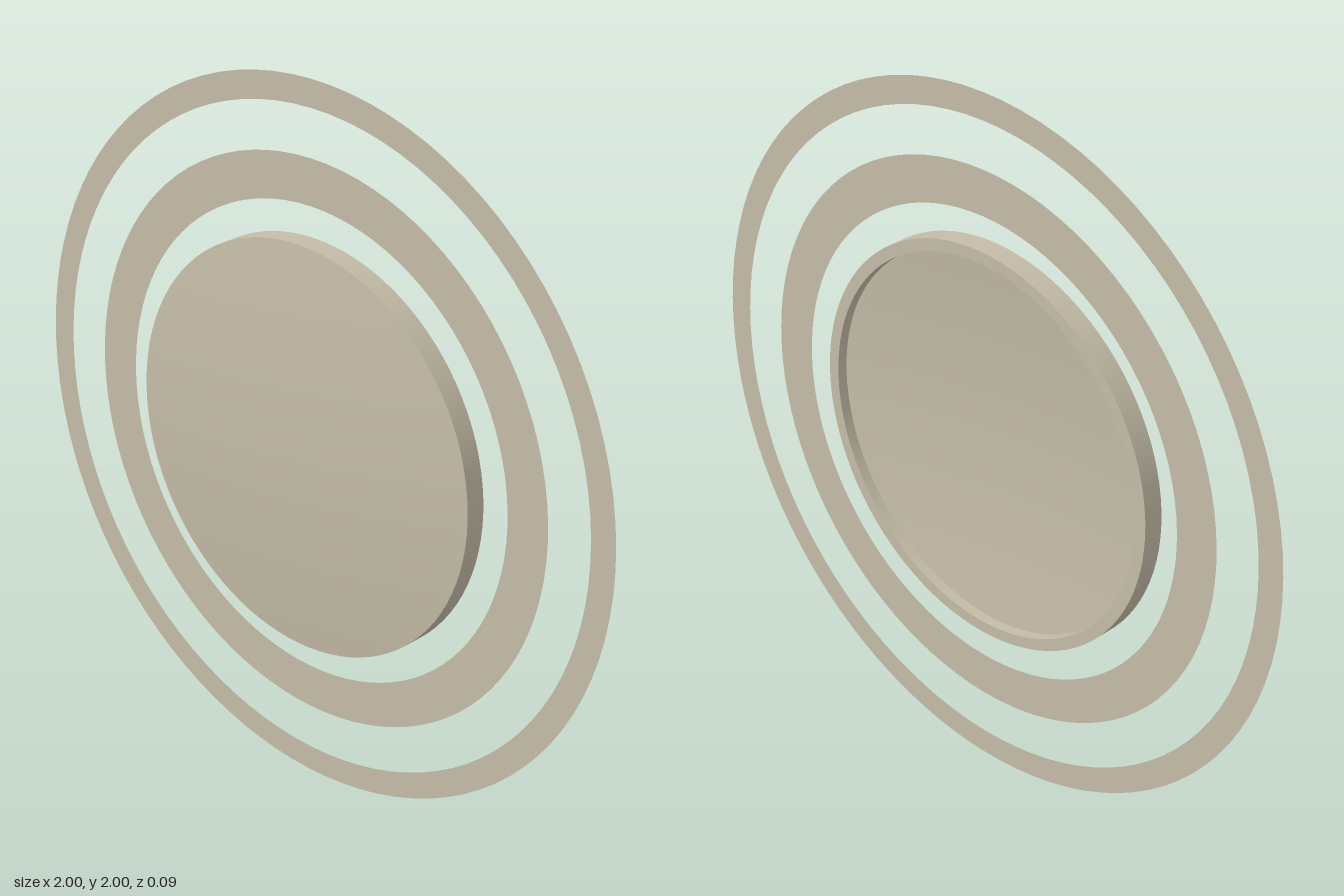
import * as THREE from 'three';

const SEGMENTS = 96;

// Shallow dome profile from the rim to the centre
function domeProfile(radius, edgeZ, peakZ, steps = 12) {
  const points = [];
  for (let i = 0; i <= steps; i++) {
    const r = radius * (1 - i / steps);
    points.push([r, peakZ + (edgeZ - peakZ) * (r / radius) ** 2]);
  }
  return points;
}

export function createModel() {
  const model = new THREE.Group();
  model.name = 'ringedDisc';

  const stone = new THREE.MeshStandardMaterial({ color: 0xc4bca7, side: THREE.DoubleSide });
  stone.name = 'warm grey';

  // Everything is concentric about the z axis, one unit above the ground
  function add(parent, name, geometry) {
    const mesh = new THREE.Mesh(geometry, stone);
    mesh.name = name;
    parent.add(mesh);
    return mesh;
  }

  // Profile points are [radius, z]; each section is separate to keep its edges sharp
  function turned(profile) {
    const points = profile.map(([r, z]) => new THREE.Vector2(r, z));
    return new THREE.LatheGeometry(points, SEGMENTS).rotateX(Math.PI / 2);
  }

  // Central disc: a domed shell with a recessed back
  const R = 0.577, r = 0.543;
  const disc = new THREE.Group();
  disc.name = 'centralDisc';
  disc.position.y = 1;
  model.add(disc);
  add(disc, 'frontDome', turned(domeProfile(R, 0.015, 0.045)));
  add(disc, 'outerRim', turned([[R, -0.045], [R, 0.015]]));
  add(disc, 'backLip', turned([[r, -0.045], [R, -0.045]]));
  add(disc, 'recessWall', turned([[r, -0.015], [r, -0.045]]));
  add(disc, 'recessFloor', turned(domeProfile(r, -0.015, 0.015).reverse()));

  // Two flat floating rings
  const rings = [
    ['middleRing', 0.667, 0.794],
    ['outerRing', 0.925, 1],
  ];
  for (const [name, inner, outer] of rings) {
    add(model, name, new THREE.RingGeometry(inner, outer, SEGMENTS)).position.set(0, 1, -0.03);
  }

  return model;
}
